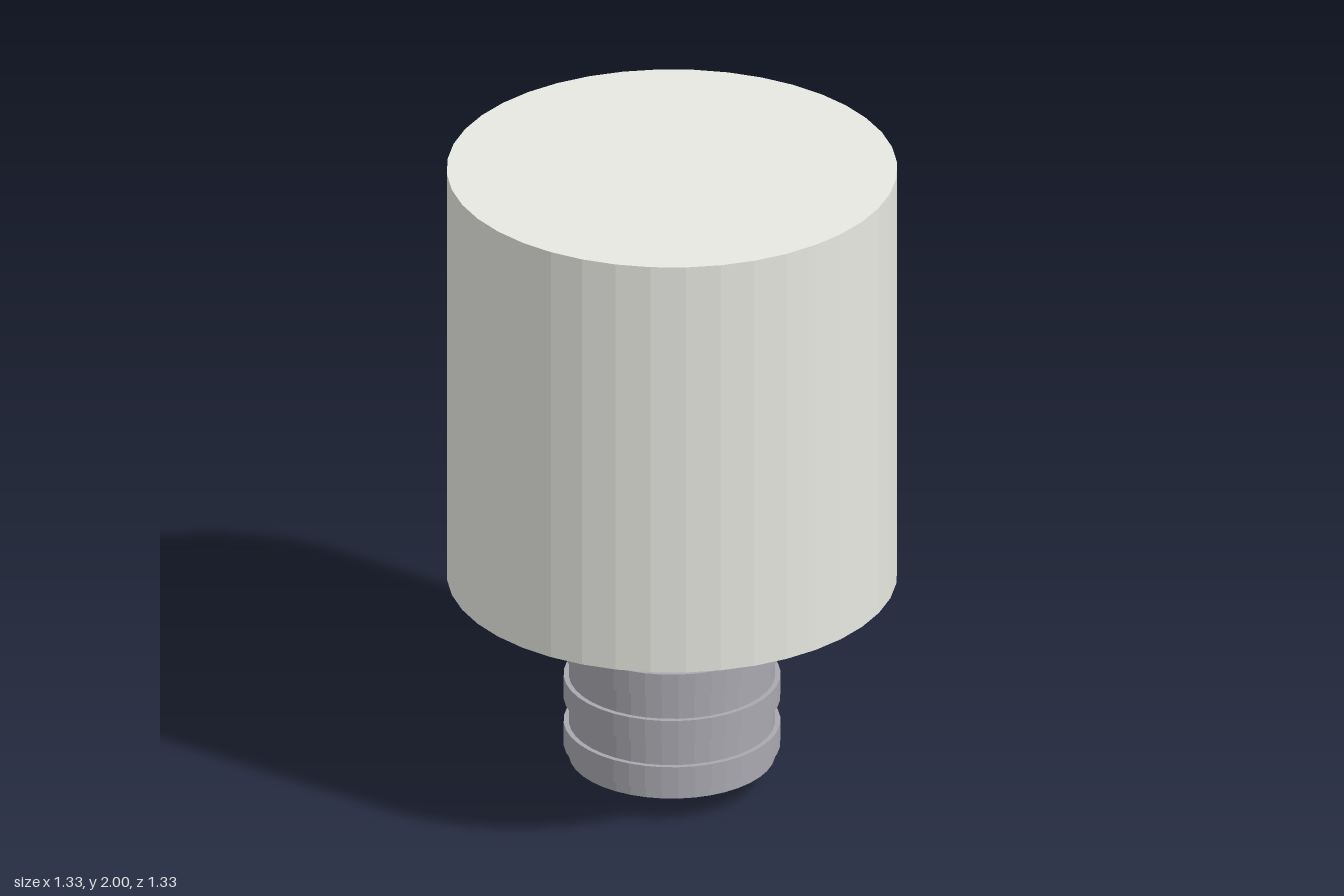
import * as THREE from 'three';

const SIDES = 40;

export function createModel() {
  const model = new THREE.Group();
  const paint = (color) => new THREE.MeshStandardMaterial({ color, flatShading: true });
  const white = paint(0xe8e8e2);
  const metal = paint(0xa9a8af);
  const brass = paint(0xd4b56a);

  // Upright cylinder between two heights
  const drum = (name, radius, y0, y1, material, parent = model) => {
    const mesh = new THREE.Mesh(new THREE.CylinderGeometry(radius, radius, y1 - y0, SIDES), material);
    mesh.name = name;
    mesh.position.y = (y0 + y1) / 2;
    parent.add(mesh);
  };

  // Bulb body and its neck
  drum('bulbBody', 0.665, 0.67, 2, white);
  drum('neck', 0.225, 0.53, 0.68, white);

  // Screw base with three raised thread rings
  const base = new THREE.Group();
  base.name = 'screwBase';
  model.add(base);
  drum('baseSleeve', 0.305, 0.08, 0.535, metal, base);
  for (let i = 0; i < 3; i++) {
    const y = 0.153 + i * 0.152;
    drum('threadRing', 0.32, y - 0.037, y + 0.037, metal, base);
  }

  // Contact at the bottom
  drum('contactTip', 0.113, 0, 0.09, brass);

  return model;
}
